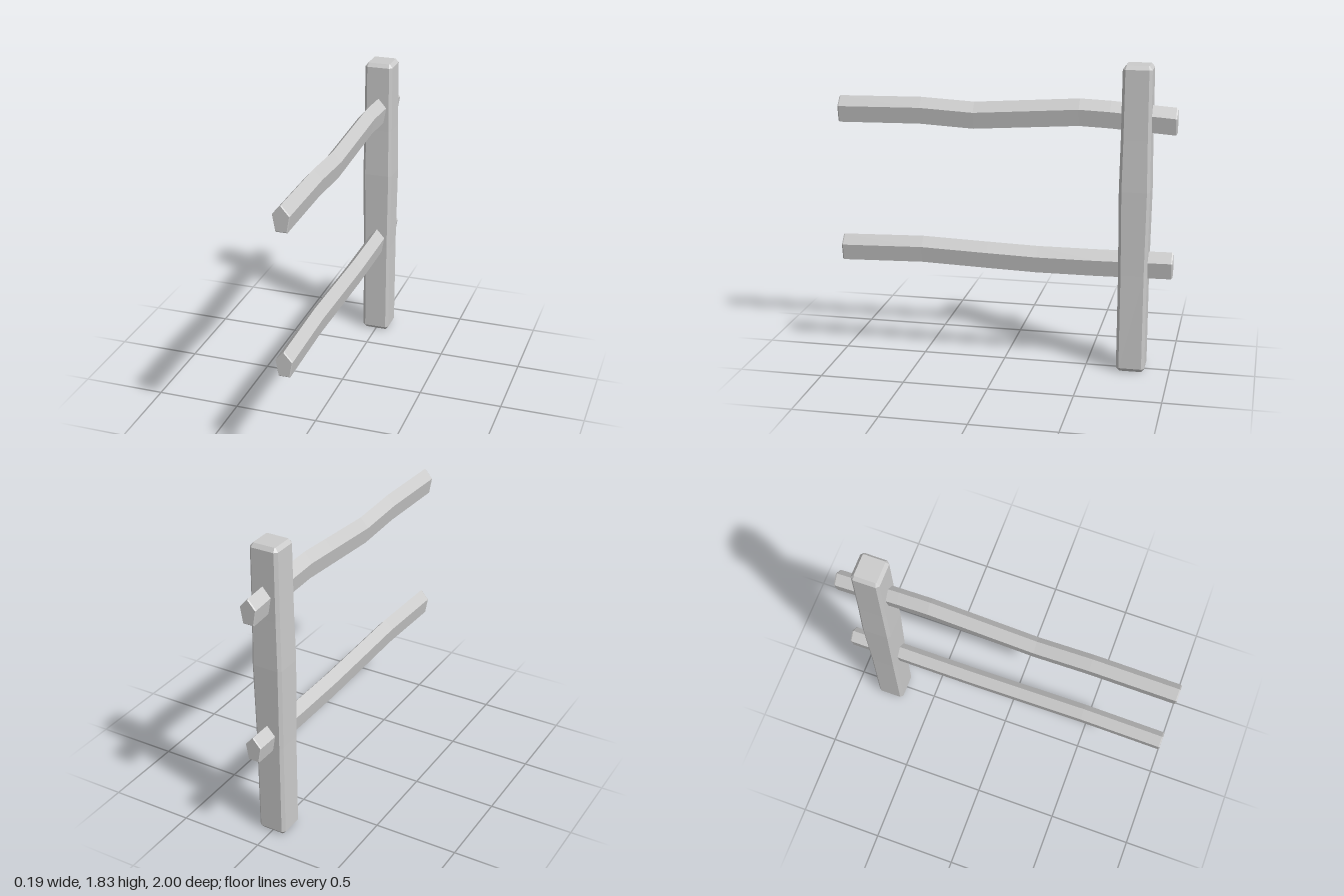
import * as THREE from 'three';

const material = new THREE.MeshStandardMaterial({ color: 0xcccccc, flatShading: true });

// Skin a stack of equal-length rings (counter-clockwise seen from the far end) and cap both ends
function loft(name, rings) {
  const n = rings[0].length, index = [];
  for (let r = 0; r < rings.length - 1; r++) {
    for (let i = 0; i < n; i++) {
      const a = r * n + i, b = r * n + (i + 1) % n;
      index.push(a, b, b + n, a, b + n, a + n);
    }
  }
  const end = (rings.length - 1) * n;
  for (let i = 1; i < n - 1; i++) index.push(0, i + 1, i, end, end + i, end + i + 1);
  const indexed = new THREE.BufferGeometry();
  indexed.setAttribute('position', new THREE.Float32BufferAttribute(rings.flat(2), 3));
  indexed.setIndex(index);
  const geometry = indexed.toNonIndexed();
  geometry.computeVertexNormals();
  const mesh = new THREE.Mesh(geometry, material);
  mesh.name = name;
  return mesh;
}

// Square ring with cut corners, lying flat at height y
function postRing(y, hx, hz, cut, cx = -0.002, cz = -0.772) {
  const x = hx - cut, z = hz - cut;
  return [[hx, z], [hx, -z], [x, -hz], [-x, -hz], [-hx, -z], [-hx, z], [-x, hz], [x, hz]]
    .map(([px, pz]) => [cx + px, y, cz + pz]);
}

// Rail cross-section, relative to the rail's centre
const pentagon = [[0, 0.077], [-0.05, 0.02], [-0.033, -0.077], [0.033, -0.077], [0.05, 0.02]];

// Rail from stations [z, centre height], with slightly bevelled ends
function rail(name, stations) {
  const ring = (z, y, s) => pentagon.map(([px, py]) => [0.003 + px * s, y + py * s, z]);
  const [z0, y0] = stations[0], [z1, y1] = stations.at(-1);
  return loft(name, [
    ring(z0, y0, 0.92),
    ring(z0 + 0.007, y0, 1),
    ...stations.slice(1, -1).map(([z, y]) => ring(z, y, 1)),
    ring(z1 - 0.007, y1, 1),
    ring(z1, y1, 0.92),
  ]);
}

export function createModel() {
  const group = new THREE.Group();
  group.name = 'fenceSection';

  // Upright post, bevelled at both ends and a little thicker in the middle
  group.add(loft('post', [
    postRing(0, 0.068, 0.066, 0.004),
    postRing(0.022, 0.086, 0.084, 0.017),
    postRing(0.6, 0.087, 0.084, 0.017),
    postRing(1.1, 0.093, 0.09, 0.017),
    postRing(1.4, 0.088, 0.086, 0.017),
    postRing(1.803, 0.086, 0.084, 0.017),
    postRing(1.825, 0.068, 0.066, 0.004),
  ]));

  // Two crooked rails passing through the post
  group.add(rail('upperRail', [
    [-1, 1.508], [-0.62, 1.534], [-0.44, 1.541], [-0.22, 1.526], [0.18, 1.499], [0.5, 1.516], [1, 1.508],
  ]));
  group.add(rail('lowerRail', [
    [-1, 0.655], [-0.55, 0.648], [-0.2, 0.647], [0.1, 0.656], [0.5, 0.669], [1, 0.655],
  ]));

  return group;
}
